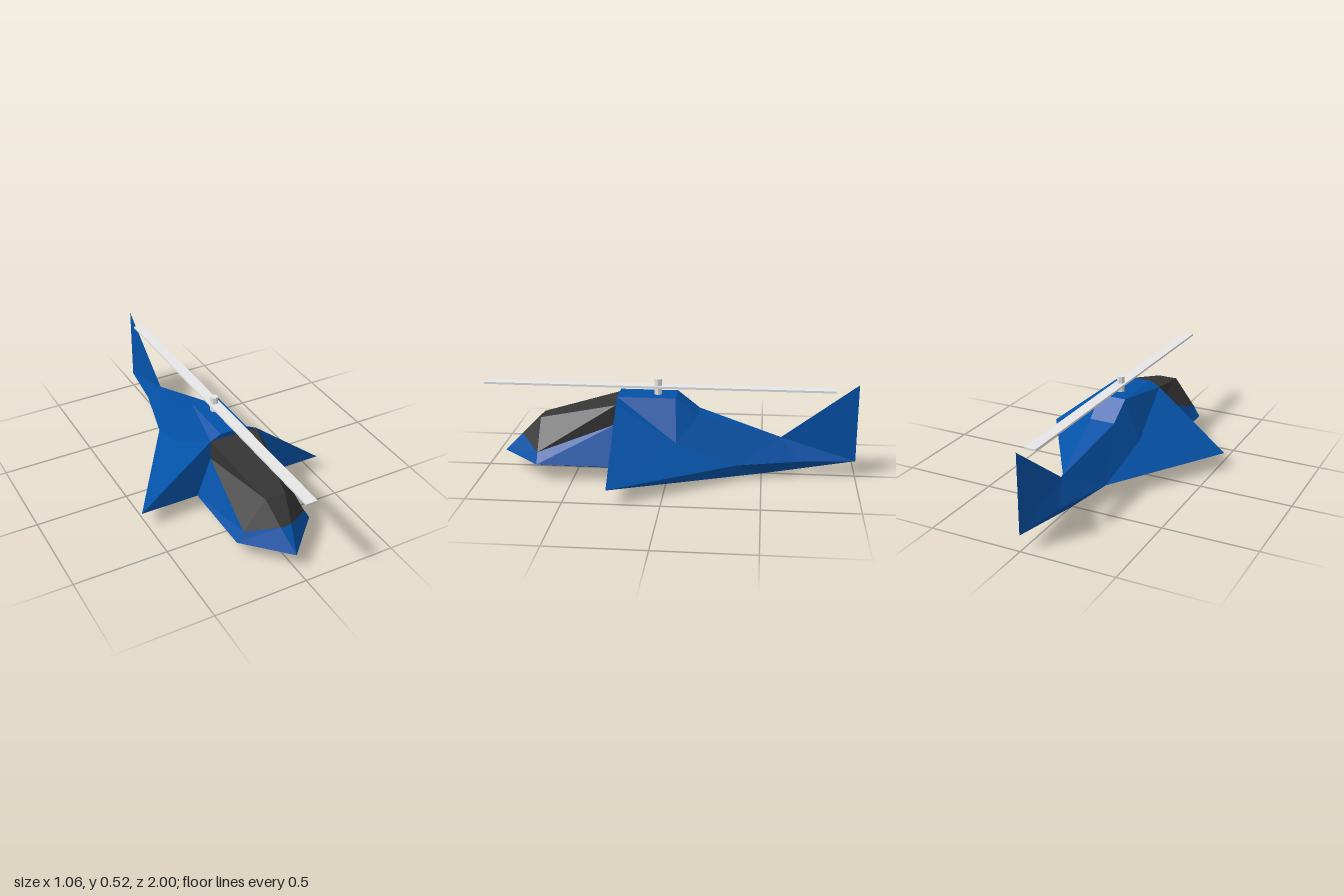
import * as THREE from 'three';

const paint = new THREE.MeshStandardMaterial({ color: 0x0452a8, side: THREE.DoubleSide });
paint.name = 'blue paint';
const glass = new THREE.MeshStandardMaterial({ color: 0x353535, side: THREE.DoubleSide });
glass.name = 'dark glass';
const metal = new THREE.MeshStandardMaterial({ color: 0xe6e6e6 });
metal.name = 'pale metal';

// Corner points of the left (+x) half; a leading minus mirrors one to the right
const points = {
  nose: [0, 0.086, 0.905], cheek: [0.21, 0.086, 0.69], root: [0.21, 0.086, 0.27],
  tip: [0.528, 0.086, 0.27], waist: [0.125, 0.086, -0.365], boom: [0.037, 0.086, -0.7],
  tail: [0, 0.086, -1], finTop: [0, 0.51, -1], valley: [0, 0.21, -0.6],
  keelFront: [0, 0, 0.42], keelRear: [0, 0, -0.52],
  shoulder: [0.133, 0.405, 0.27], sill: [0.133, 0.3, 0.27], sillFront: [0.175, 0.143, 0.69],
  brow: [0.055, 0.3, 0.69], chin: [0.03, 0.193, 0.8],
  deckFront: [0.075, 0.433, 0.27], deckRear: [0.075, 0.433, -0.04],
  slopeEnd: [0.07, 0.34, -0.16], seam: [0.165, 0.215, -0.05],
};

function corner(token) {
  if (token[0] !== '-') return points[token];
  const [x, y, z] = points[token.slice(1)];
  return [-x, y, z];
}

const polygon = (text) => text.split(' ').map(corner);
const mirror = (poly) => poly.map(([x, y, z]) => [-x, y, z]).reverse();

// Flat-shaded panel mesh from convex polygons, each split as a fan
function panels(name, material, polys) {
  const verts = [];
  for (const p of polys) {
    for (let i = 1; i < p.length - 1; i++) verts.push(...p[0], ...p[i], ...p[i + 1]);
  }
  const geo = new THREE.BufferGeometry();
  geo.setAttribute('position', new THREE.Float32BufferAttribute(verts, 3));
  geo.computeVertexNormals();
  const mesh = new THREE.Mesh(geo, material);
  mesh.name = name;
  return mesh;
}

const both = (list) => list.map(polygon).flatMap((p) => [p, mirror(p)]);

export function createModel() {
  const model = new THREE.Group();
  model.name = 'gyroplane';

  // Nose and cabin sides below the glass
  model.add(panels('noseSection', paint, [
    ...both(['cheek root sill sillFront', 'nose cheek sillFront chin']),
    polygon('nose chin -chin'),
  ]));

  // Faceted canopy
  model.add(panels('canopy', glass, [
    ...both(['sillFront sill shoulder brow', 'chin sillFront brow']),
    polygon('-chin chin brow -brow'),
    polygon('-brow brow shoulder -shoulder'),
  ]));

  // Raised engine deck and the slope behind it
  model.add(panels('engineDeck', paint, [
    ...both(['deckFront shoulder seam deckRear', 'deckRear seam slopeEnd', 'slopeEnd seam waist']),
    polygon('-shoulder shoulder deckFront -deckFront'),
    polygon('-deckFront deckFront deckRear -deckRear'),
    polygon('-deckRear deckRear slopeEnd -slopeEnd'),
    polygon('-slopeEnd slopeEnd valley'),
  ]));

  // Wings; the right one is closed below, the left has an open flap down to the keel
  model.add(panels('wings', paint, [
    ...both(['root tip shoulder sill', 'tip waist seam shoulder']),
    mirror(polygon('tip root waist')),
  ]));
  model.add(panels('leftWingFlap', paint, [polygon('tip keelRear waist')]));

  // Tail boom with thin upright fin
  model.add(panels('tailBoom', paint, both(['slopeEnd waist valley', 'valley waist boom', 'valley boom tail'])));
  model.add(panels('tailFin', paint, [polygon('valley tail finTop')]));

  // V-shaped belly
  model.add(panels('belly', paint, both([
    'nose keelFront cheek', 'cheek keelFront keelRear root', 'root keelRear waist',
    'waist keelRear boom', 'boom keelRear tail',
  ])));

  // Rotor mast and blade
  const rotor = new THREE.Group();
  rotor.name = 'rotor';
  const mastGeo = new THREE.CylinderGeometry(0.021, 0.021, 0.088, 8).toNonIndexed();
  mastGeo.computeVertexNormals();
  const mast = new THREE.Mesh(mastGeo, metal);
  mast.name = 'rotorMast';
  mast.position.set(0, 0.474, 0.06);
  const blade = new THREE.Mesh(new THREE.BoxGeometry(0.06, 0.011, 1.88), metal);
  blade.name = 'rotorBlade';
  blade.position.set(0, 0.476, 0.06);
  rotor.add(mast, blade);
  model.add(rotor);

  return model;
}
